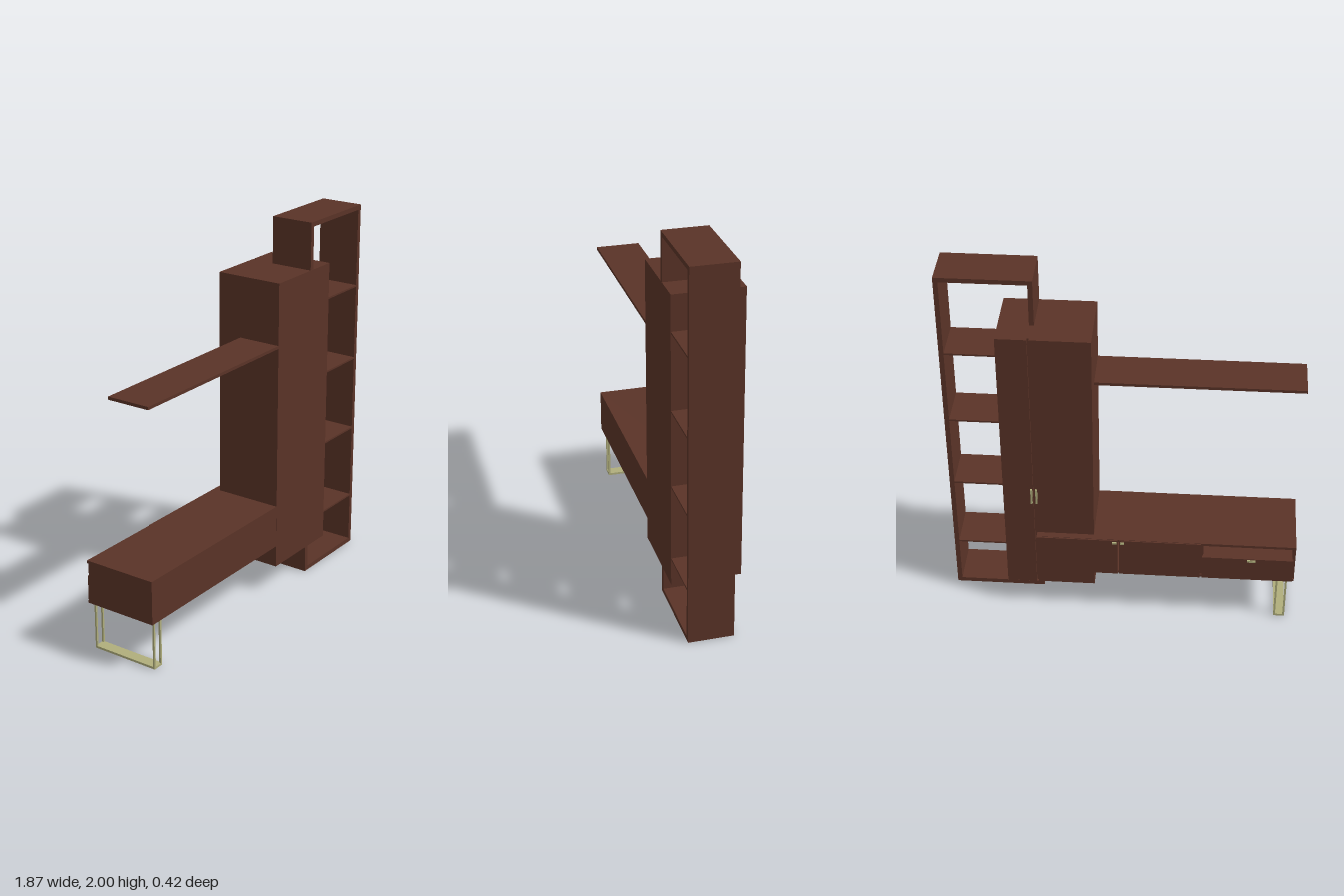
import * as THREE from 'three';

const wood = new THREE.MeshStandardMaterial({ color: 0x5a3327 });
const metal = new THREE.MeshStandardMaterial({ color: 0xb0ae7c });

// Box given by its min/max extents on each axis
function slab(parent, name, [x0, x1], [y0, y1], [z0, z1], material = wood) {
  const mesh = new THREE.Mesh(new THREE.BoxGeometry(x1 - x0, y1 - y0, z1 - z0), material);
  mesh.position.set((x0 + x1) / 2, (y0 + y1) / 2, (z0 + z1) / 2);
  mesh.name = name;
  parent.add(mesh);
}

function section(root, name) {
  const group = new THREE.Group();
  group.name = name;
  root.add(group);
  return group;
}

export function createModel() {
  const root = new THREE.Group();
  root.name = 'wallUnit';

  // Tall open bookcase
  const bookcase = section(root, 'bookcase');
  const bz = [-0.03, 0.209];
  const t = 0.025;
  slab(bookcase, 'bookcaseSide', [0.44, 0.44 + t], [0, 2], bz);
  slab(bookcase, 'bookcaseSide', [0.93 - t, 0.93], [0, 2], bz);
  slab(bookcase, 'bookcaseTop', [0.44 + t, 0.93 - t], [2 - t, 2], bz);
  slab(bookcase, 'bookcaseBottom', [0.44 + t, 0.93 - t], [0, t], bz);
  for (const y of [0.3, 0.717, 1.133, 1.55]) {
    slab(bookcase, 'bookcaseShelf', [0.44 + t, 0.93 - t], [y - 0.005, y + 0.005], bz);
  }

  // Closed wardrobe with two uneven doors
  const wardrobe = section(root, 'wardrobe');
  const wy = [0.15, 1.745];
  slab(wardrobe, 'wardrobeBody', [0.145, 0.622], wy, [-0.148, 0.21]);
  slab(wardrobe, 'wardrobeDoor', [0.145, 0.453], wy, [-0.163, -0.148]);
  slab(wardrobe, 'wardrobeDoor', [0.463, 0.622], wy, [-0.163, -0.148]);
  for (const x of [0.446, 0.472]) {
    slab(wardrobe, 'wardrobeHandle', [x - 0.005, x + 0.005], [0.71, 0.803], [-0.174, -0.163], metal);
  }

  // Wall shelf
  slab(root, 'wallShelf', [-0.935, 0.145], [1.396, 1.412], [-0.03, 0.209]);

  // Low bench: carcass panels
  const bench = section(root, 'bench');
  const bx = [-0.935, 0.45];
  const bd = [-0.198, 0.209];
  slab(bench, 'benchTop', bx, [0.491, 0.506], bd);
  slab(bench, 'benchBottom', bx, [0.27, 0.285], bd);
  slab(bench, 'benchBack', bx, [0.285, 0.491], [0.194, 0.209]);
  for (const x of [-0.935, -0.443, 0.435]) {
    slab(bench, 'benchUpright', [x, x + 0.015], [0.285, 0.491], [-0.19, 0.194]);
  }
  slab(bench, 'nicheFloor', [-0.92, -0.443], [0.4, 0.413], [-0.19, 0.194]);

  // Bench doors and drawer
  const fz = [-0.205, -0.188];
  slab(bench, 'benchDoor', [0.015, 0.452], [0.27, 0.504], fz);
  slab(bench, 'benchDoor', [-0.428, 0.008], [0.27, 0.504], fz);
  slab(bench, 'benchDrawer', [-0.925, -0.438], [0.27, 0.416], fz);
  for (const [x, y, w] of [[-0.008, 0.49, 0.022], [0.033, 0.49, 0.022], [-0.7, 0.405, 0.046]]) {
    slab(bench, 'benchHandle', [x - w / 2, x + w / 2], [y - 0.006, y + 0.006], [-0.212, -0.205], metal);
  }

  // Sled leg: four slim posts between two plates
  const leg = section(root, 'benchLeg');
  slab(leg, 'legFoot', [-0.9, -0.84], [0, 0.012], [-0.19, 0.19], metal);
  slab(leg, 'legTopPlate', [-0.9, -0.84], [0.258, 0.27], [-0.19, 0.19], metal);
  for (const x of [-0.895, -0.845]) {
    for (const z of [-0.185, 0.185]) {
      slab(leg, 'legPost', [x - 0.005, x + 0.005], [0.012, 0.258], [z - 0.005, z + 0.005], metal);
    }
  }

  return root;
}
